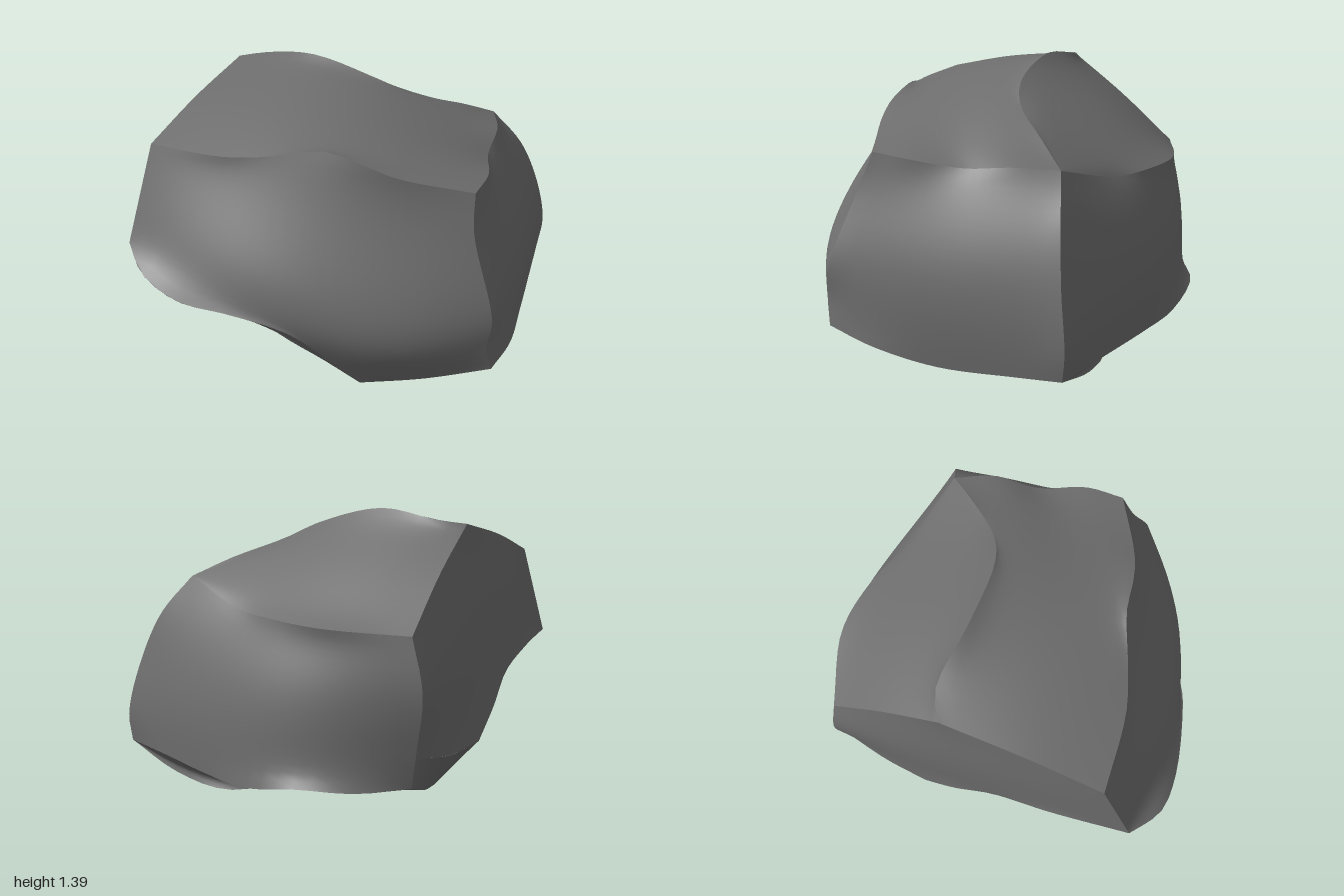
import * as THREE from 'three';

const STEPS = 20;

// Corners where the facets of the boulder meet
const C = {
  frontTopL: [-0.85, 1.16, 0.62], frontTopR: [0.69, 1.06, 0.4],
  ridgeL: [-0.75, 1.31, -0.17], ridgeR: [0.6, 1.04, -0.49], backTopL: [-0.7, 0.85, -0.77],
  frontLowL: [-0.93, 0.69, 0.81], frontFoot: [0.25, 0.06, 0.75], frontLowR: [0.87, 0.2, 0.59],
  backLowR: [0.92, 0.17, -0.61], backTip: [-0.73, 0.33, -0.79], backLowL: [-0.71, 0.19, -0.78],
  sideLow: [-0.87, 0.3, -0.3], heel: [-0.65, 0.05, -0.3],
};

// A curve is a function of t in 0..1
function edge(from, to, ...mid) {
  const pts = [C[from], ...mid, C[to]].map((p) => new THREE.Vector3(...p));
  const curve = new THREE.CatmullRomCurve3(pts, false, 'centripetal');
  return (t) => curve.getPointAt(t);
}
const join = (a, b, s) => (t) => (t <= s ? a(t / s) : b((t - s) / (1 - s)));
const point = (name) => () => new THREE.Vector3(...C[name]);
const reverse = (c) => (t) => c(1 - t);

// Crease lines, each shared by the facets on both sides of it
const E = {
  frontTop: edge('frontTopL', 'frontTopR', [-0.46, 1.17, 0.64], [-0.24, 1.19, 0.6], [0, 1.23, 0.54], [0.2, 1.19, 0.54], [0.35, 1.14, 0.52]),
  ridge: edge('ridgeL', 'ridgeR', [-0.61, 1.33, -0.22], [-0.3, 1.385, -0.15], [0.06, 1.31, -0.12], [0.23, 1.23, -0.17], [0.45, 1.13, -0.35]),
  backTop: edge('backTopL', 'ridgeR', [-0.31, 0.87, -0.85], [-0.02, 0.89, -0.78], [0.22, 0.91, -0.66]),
  topLeftFront: edge('frontTopL', 'ridgeL', [-0.8, 1.25, 0.25]),
  topLeftBack: edge('ridgeL', 'backTopL', [-0.72, 1.09, -0.48]),
  topRight: edge('frontTopR', 'ridgeR', [0.71, 1.05, 0.2], [0.66, 1.02, -0.05], [0.66, 1.05, -0.28]),
  frontLeft: edge('frontTopL', 'frontLowL'),
  frontRight: edge('frontTopR', 'frontLowR', [0.71, 0.89, 0.47], [0.85, 0.5, 0.59], [0.84, 0.33, 0.61]),
  backRight: edge('ridgeR', 'backLowR', [0.76, 0.85, -0.54], [0.87, 0.6, -0.58], [0.93, 0.32, -0.62]),
  backLeft: edge('backTopL', 'backTip', [-0.76, 0.61, -0.8]),
  chip: edge('backTip', 'backLowL'),
  lip: edge('frontLowL', 'frontFoot', [-0.78, 0.63, 0.95], [-0.58, 0.56, 1], [-0.3, 0.54, 0.99], [-0.04, 0.47, 0.95], [0.13, 0.26, 0.85]),
  frontBase: edge('frontFoot', 'frontLowR', [0.56, 0.13, 0.69]),
  hollow: edge('frontLowL', 'frontFoot', [-0.62, 0.37, 0.52], [-0.3, 0.18, 0.63], [0.05, 0.05, 0.66]),
  rightBase: edge('frontLowR', 'backLowR', [0.92, 0.16, 0.33], [0.92, 0.12, 0], [0.92, 0.15, -0.4]),
  backBase: edge('backLowL', 'backLowR', [-0.5, 0.18, -0.92], [-0.26, 0.19, -1], [0.03, 0.14, -0.95], [0.3, 0.14, -0.85], [0.6, 0.16, -0.74]),
  leftBase: edge('frontLowL', 'sideLow', [-0.92, 0.65, 0.4], [-0.89, 0.56, 0.1], [-0.89, 0.43, -0.12]),
  leftBaseBack: edge('sideLow', 'backTip', [-0.81, 0.29, -0.55]),
  heelRise: edge('sideLow', 'heel', [-0.78, 0.2, -0.31]),
  heelBack: edge('heel', 'backLowL', [-0.69, 0.11, -0.55]),
  footLine: edge('frontFoot', 'heel', [0.27, 0.03, 0.45], [0.13, 0.01, 0.19], [-0.1, 0.07, 0.08], [-0.45, 0.1, -0.07]),
  keel: edge('heel', 'backLowR', [-0.3, 0.05, -0.35], [0, 0.04, -0.5], [0.3, 0, -0.66], [0.6, 0.05, -0.66]),
};

// Facet blended from its four edges (top and bottom run along u, left and right along v),
// evened out inside, then swollen by the vector bulge; skew moves the swelling toward u = v = 1
function facet(name, material, top, bottom, left, right, bulge = [0, 0, 0], skew = 1) {
  const row = STEPS + 1, swell = new THREE.Vector3(...bulge);
  const p00 = top(0), p10 = top(1), p01 = bottom(0), p11 = bottom(1);
  let grid = [];
  for (let k = 0; k < row * row; k++) {
    const u = (k % row) / STEPS, v = Math.floor(k / row) / STEPS;
    grid.push(new THREE.Vector3()
      .addScaledVector(top(u), 1 - v).addScaledVector(bottom(u), v)
      .addScaledVector(left(v), 1 - u).addScaledVector(right(v), u)
      .addScaledVector(p00, -(1 - u) * (1 - v)).addScaledVector(p10, -u * (1 - v))
      .addScaledVector(p01, -(1 - u) * v).addScaledVector(p11, -u * v));
  }
  const inside = (k) => k % row > 0 && k % row < STEPS && k > row && k < row * STEPS;
  for (let pass = 0; pass < 24; pass++) {
    grid = grid.map((p, k) => (inside(k)
      ? grid[k - 1].clone().add(grid[k + 1]).add(grid[k - row]).add(grid[k + row]).multiplyScalar(0.25)
      : p));
  }
  grid.forEach((p, k) => {
    const u = (k % row) / STEPS, v = Math.floor(k / row) / STEPS;
    if (inside(k)) p.addScaledVector(swell, Math.sin(Math.PI * u ** skew) * Math.sin(Math.PI * v ** skew));
  });

  // Wind the faces so they look away from the middle of the boulder
  const at = (i, j) => grid[j * row + i].clone();
  const du = at(15, 10).sub(at(5, 10)), dv = at(10, 15).sub(at(10, 5));
  const flip = du.cross(dv).dot(at(10, 10).sub(new THREE.Vector3(0, 0.65, 0))) < 0;
  const idx = [];
  for (let j = 0; j < STEPS; j++) {
    for (let i = 0; i < STEPS; i++) {
      const a = j * row + i, b = a + 1, c = a + row, d = c + 1;
      if (flip) idx.push(a, c, b, b, c, d);
      else idx.push(a, b, c, b, d, c);
    }
  }
  const geo = new THREE.BufferGeometry().setFromPoints(grid);
  geo.setIndex(idx);
  geo.computeVertexNormals();
  const mesh = new THREE.Mesh(geo, material);
  mesh.name = name;
  return mesh;
}

export function createModel() {
  const group = new THREE.Group();
  group.name = 'boulder';
  const stone = new THREE.MeshStandardMaterial({ color: 0x6e6e6e, side: THREE.DoubleSide });
  const add = (name, ...args) => group.add(facet(name, stone, ...args));

  // Upper facets
  add('topFacet', E.ridge, E.frontTop, reverse(E.topLeftFront), reverse(E.topRight), [0, 0.02, 0]);
  add('backSlope', E.ridge, E.backTop, E.topLeftBack, point('ridgeR'));

  // Sides
  add('frontFacet', E.frontTop, join(E.lip, E.frontBase, 0.7), E.frontLeft, E.frontRight, [0.02, 0, 0.13], 2);
  add('leftFacet', E.topRight, E.rightBase, E.frontRight, E.backRight, [0.03, 0, 0]);
  add('backFacet', E.backTop, E.backBase, join(E.backLeft, E.chip, 0.8), E.backRight, [0, 0, -0.03]);
  add('rightFacet', join(E.topLeftFront, E.topLeftBack, 0.5), join(E.leftBase, E.leftBaseBack, 0.7), E.frontLeft, E.backLeft);

  // Undercut below the front lip
  add('lipUnderside', E.lip, E.hollow, point('frontLowL'), point('frontFoot'));
  add('undercut', E.hollow, E.heelRise, E.leftBase, E.footLine);

  // Base
  add('base', E.frontBase, E.keel, E.footLine, E.rightBase, [0, 0.01, 0]);
  add('backUnderside', E.backBase, E.keel, reverse(E.heelBack), point('backLowR'));
  add('sideChip', E.leftBaseBack, E.heelBack, E.heelRise, E.chip);
  return group;
}
